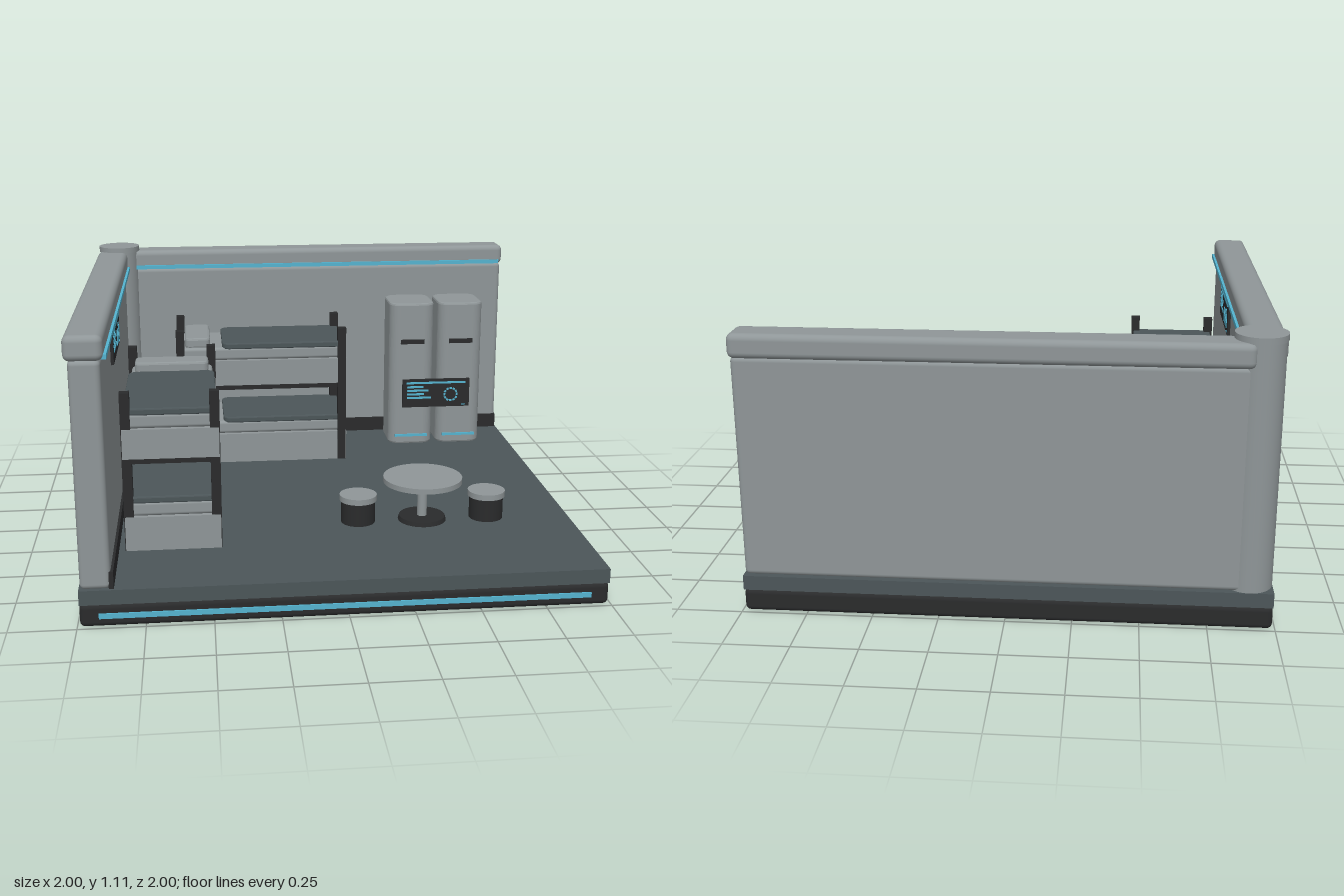
import * as THREE from 'three';
import { RoundedBoxGeometry } from 'three/addons/geometries/RoundedBoxGeometry.js';

const mat = (name, color) => {
  const m = new THREE.MeshStandardMaterial({ color });
  m.name = name;
  return m;
};

export function createModel() {
  const wallGray = mat('wall gray', 0x8f9698);
  const slate = mat('slate', 0x4c5659);
  const dark = mat('charcoal', 0x2a2b2c);
  const cyan = mat('cyan light', 0x55b4d0);

  const add = (parent, name, geometry, material, x = 0, y = 0, z = 0) => {
    const mesh = new THREE.Mesh(geometry, material);
    mesh.name = name;
    mesh.position.set(x, y, z);
    parent.add(mesh);
    return mesh;
  };
  const group = (parent, name) => {
    const g = new THREE.Group();
    g.name = name;
    parent.add(g);
    return g;
  };
  // Box given by its limits, with optional rounded edges
  const box = (parent, name, m, x0, x1, y0, y1, z0, z1, r = 0) => {
    const s = [x1 - x0, y1 - y0, z1 - z0];
    const geo = r ? new RoundedBoxGeometry(...s, 3, r) : new THREE.BoxGeometry(...s);
    return add(parent, name, geo, m, (x0 + x1) / 2, (y0 + y1) / 2, (z0 + z1) / 2);
  };
  // Upright slab with rounded plan corners and a small bevel
  const slab = (parent, name, m, x0, x1, y0, y1, z0, z1, r, b) => {
    const w = (x1 - x0) / 2 - b, d = (z1 - z0) / 2 - b;
    const s = new THREE.Shape();
    s.absarc(w - r, d - r, r, 0, Math.PI / 2);
    s.absarc(r - w, d - r, r, Math.PI / 2, Math.PI);
    s.absarc(r - w, r - d, r, Math.PI, Math.PI * 1.5);
    s.absarc(w - r, r - d, r, Math.PI * 1.5, Math.PI * 2);
    const geo = new THREE.ExtrudeGeometry(s, {
      depth: y1 - y0 - 2 * b, bevelThickness: b, bevelSize: b, bevelSegments: 2, curveSegments: 6,
    });
    geo.rotateX(-Math.PI / 2);
    return add(parent, name, geo, m, (x0 + x1) / 2, y0 + b, (z0 + z1) / 2);
  };
  const cyl = (parent, name, m, r0, r1, y0, y1, x, z) =>
    add(parent, name, new THREE.CylinderGeometry(r1, r0, y1 - y0, 40), m, x, (y0 + y1) / 2, z);

  const model = new THREE.Group();
  model.name = 'bunkRoom';

  // Base and floor
  const base = group(model, 'base');
  box(base, 'baseSlab', dark, -0.99, 0.99, 0, 0.09, -0.99, 0.99, 0.02);
  box(base, 'floor', slate, -0.99, 0.99, 0.088, 0.145, -0.99, 0.99);
  box(base, 'frontLight', cyan, -0.92, 0.92, 0.035, 0.055, 0.985, 0.996);
  box(base, 'rightLight', cyan, 0.985, 0.996, 0.035, 0.055, -0.92, 0.92);

  // Walls with caps, baseboards and light strips
  const walls = group(model, 'walls');
  box(walls, 'backWall', wallGray, -0.9, 0.985, 0.145, 1.0, -0.98, -0.872, 0.02);
  box(walls, 'leftWall', wallGray, -0.985, -0.872, 0.145, 1.0, -0.9, 0.985, 0.02);
  box(walls, 'backCap', wallGray, -0.88, 0.99, 0.995, 1.088, -1, -0.86, 0.025);
  box(walls, 'leftCap', wallGray, -1, -0.86, 0.995, 1.088, -0.88, 0.99, 0.025);
  box(walls, 'backBaseboard', dark, -0.87, 0.985, 0.145, 0.212, -0.88, -0.862);
  box(walls, 'leftBaseboard', dark, -0.88, -0.862, 0.145, 0.212, -0.87, 0.98);
  box(walls, 'backLight', cyan, -0.82, 0.97, 1.0, 1.018, -0.87, -0.85);
  box(walls, 'leftLight', cyan, -0.87, -0.85, 1.0, 1.018, -0.82, 0.97);
  cyl(walls, 'cornerColumn', wallGray, 0.09, 0.09, 0.145, 1.09, -0.9, -0.9);
  cyl(walls, 'columnCap', wallGray, 0.095, 0.095, 1.085, 1.11, -0.9, -0.9);

  // Bunk bed: head at -z, wallSide gives the sign of x next to the wall
  const bunkBed = (name, wallSide) => {
    const bed = group(model, name);
    for (const x of [-0.17, 0.17]) for (const z of [-0.375, 0.375])
      box(bed, 'post', dark, x - 0.019, x + 0.019, 0.145, 0.782, z - 0.019, z + 0.019);
    box(bed, 'upperPlatform', dark, -0.178, 0.178, 0.497, 0.522, -0.385, 0.385);
    for (const [bottom, top] of [[0.145, 0.283], [0.52, 0.638]]) {
      box(bed, 'bedFrame', wallGray, -0.186, 0.186, bottom, top, -0.397, 0.397);
      box(bed, 'mattress', wallGray, -0.174, 0.174, top, top + 0.06, -0.388, 0.388, 0.015);
      slab(bed, 'blanket', slate, -0.18, 0.18, top + 0.053, top + 0.081, -0.182, 0.39, 0.03, 0.006);
      slab(bed, 'pillow', wallGray, -0.157, 0.157, top + 0.055, top + 0.103, -0.353, -0.237, 0.015, 0.01);
    }
    box(bed, 'readingLight', cyan, -0.15, 0.15, 0.472, 0.488, -0.24, -0.226);
    box(bed, 'sideShelf', wallGray, wallSide * 0.17 - 0.015, wallSide * 0.17 + 0.015, 0.467, 0.483, 0.17, 0.37);
    return bed;
  };
  bunkBed('leftBunkBed', -1).position.set(-0.648, 0, 0.232);
  const backBed = bunkBed('backBunkBed', 1);
  backBed.rotation.y = Math.PI / 2;
  backBed.position.set(-0.24, 0, -0.605);

  // Lockers
  for (const x of [0.503, 0.74]) {
    const locker = group(model, 'locker');
    slab(locker, 'lockerBody', wallGray, x - 0.108, x + 0.108, 0.145, 0.85, -0.86, -0.615, 0.045, 0.01);
    box(locker, 'vent', dark, x - 0.058, x + 0.058, 0.652, 0.674, -0.62, -0.611);
    box(locker, 'footLight', cyan, x - 0.08, x + 0.08, 0.184, 0.196, -0.62, -0.609);
  }

  // Display panels facing local +z, with a headline and text rows
  const display = (name, w, h) => {
    const d = group(model, name);
    box(d, 'panel', dark, -w / 2, w / 2, -h / 2, h / 2, -0.008, 0.004);
    d.line = (x0, x1, y0, y1) => box(d, 'mark', cyan, x0, x1, y0, y1, 0.003, 0.007);
    d.line(-w * 0.44, w * 0.44, h * 0.34, h * 0.41);
    [0.24, 0.32, 0.25, 0.36].forEach((len, i) => {
      const y = h * (0.23 - i * 0.13);
      d.line(-w * 0.43, -w * 0.43 + w * len, y - h * 0.035, y + h * 0.035);
    });
    d.line(w * 0.38, w * 0.44, -h * 0.44, -h * 0.41);
    return d;
  };
  const wallDisplay = display('wallDisplay', 0.426, 0.142);
  [0.06, 0.06, 0.053, 0.075, 0.058].forEach((tall, i) => {
    const x = 0.025 + i * 0.031;
    wallDisplay.line(x, x + 0.019, -0.048, tall - 0.048);
  });
  wallDisplay.rotation.y = Math.PI / 2;
  wallDisplay.position.set(-0.864, 0.92, 0.238);

  const lockerDisplay = display('lockerDisplay', 0.332, 0.14);
  for (let i = 0; i < 12; i++) {
    const a = i * Math.PI / 6;
    const dash = lockerDisplay.line(-0.006, 0.006, -0.0045, 0.0045);
    dash.position.set(0.073 + 0.031 * Math.sin(a), -0.008 + 0.031 * Math.cos(a), 0.005);
    dash.rotation.z = -a;
  }
  lockerDisplay.position.set(0.622, 0.405, -0.609);

  // Table and stools
  const table = group(model, 'table');
  cyl(table, 'tableFoot', dark, 0.1, 0.095, 0.145, 0.163, 0.375, 0.4);
  cyl(table, 'tableStem', wallGray, 0.02, 0.02, 0.16, 0.315, 0.375, 0.4);
  cyl(table, 'tableTop', wallGray, 0.163, 0.163, 0.31, 0.332, 0.375, 0.4);
  for (const x of [0.107, 0.645]) {
    const stool = group(model, 'stool');
    cyl(stool, 'stoolBody', dark, 0.07, 0.07, 0.145, 0.242, x, 0.4);
    cyl(stool, 'stoolSeat', wallGray, 0.077, 0.077, 0.24, 0.264, x, 0.4);
  }
  return model;
}
